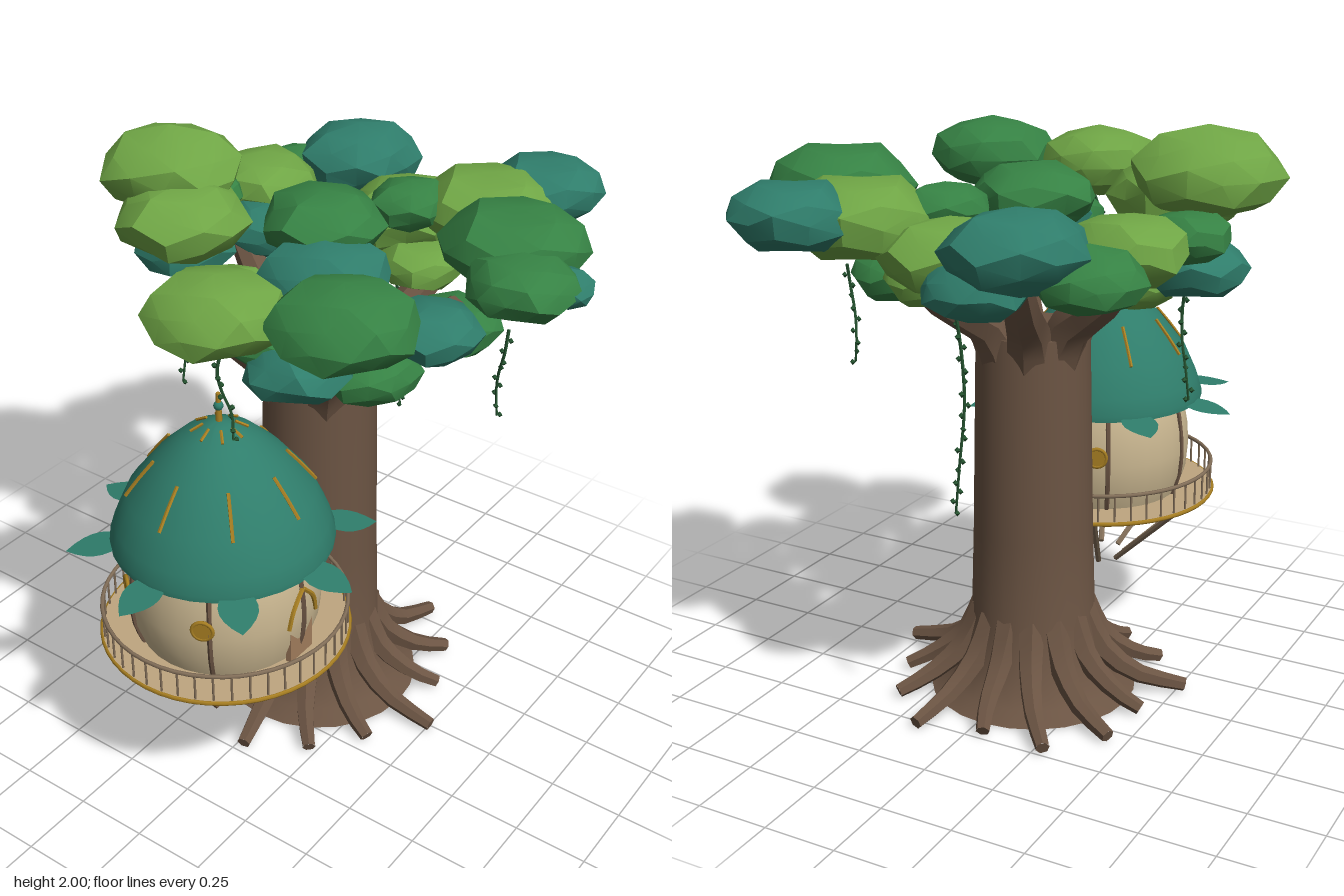
import * as THREE from 'three';
import { mergeGeometries, toCreasedNormals } from 'three/addons/utils/BufferGeometryUtils.js';

const V = (x, y, z) => new THREE.Vector3(x, y, z);
// Point at angle a (from +z towards +x), radius r and height y
const polar = (a, r, y) => V(Math.sin(a) * r, y, Math.cos(a) * r);

function material(name, color, double) {
  const m = new THREE.MeshStandardMaterial({ color });
  m.name = name;
  if (double) m.side = THREE.DoubleSide;
  return m;
}

function add(parent, name, geometry, mat) {
  const m = new THREE.Mesh(geometry, mat);
  m.name = name;
  parent.add(m);
  return m;
}

function group(parent, name) {
  const g = new THREE.Group();
  g.name = name;
  parent.add(g);
  return g;
}

// Calls fn with n evenly spaced angles
function around(n, offset, fn) {
  for (let i = 0; i < n; i++) fn(((i + offset) / n) * Math.PI * 2, i);
}

// Tapered, capped tube through a few points
function limb(points, r0, r1, sides = 6, steps = 6) {
  const curve = new THREE.CatmullRomCurve3(points);
  const tube = new THREE.TubeGeometry(curve, steps, 1, sides);
  const pos = tube.attributes.position;
  const v = V(0, 0, 0);
  for (let i = 0; i < pos.count; i++) {
    const t = Math.floor(i / (sides + 1)) / steps;
    const c = curve.getPointAt(t);
    v.fromBufferAttribute(pos, i).sub(c).multiplyScalar(r0 + (r1 - r0) * t).add(c);
    pos.setXYZ(i, v.x, v.y, v.z);
  }
  const caps = [0, 1].map((t) => {
    const dir = curve.getTangentAt(t).multiplyScalar(t ? 1 : -1);
    const cap = new THREE.CircleGeometry(t ? r1 : r0, sides);
    cap.applyQuaternion(new THREE.Quaternion().setFromUnitVectors(V(0, 0, 1), dir));
    const p = curve.getPointAt(t);
    return cap.translate(p.x, p.y, p.z);
  });
  return toCreasedNormals(mergeGeometries([tube, ...caps]), 0.8);
}

const lathe = (pts, segments) =>
  toCreasedNormals(new THREE.LatheGeometry(pts.map(([x, y]) => new THREE.Vector2(x, y)), segments), 0.6);

// Faceted, flattened leaf cloud with a slightly uneven surface
function cloud(seed, radius) {
  const g = new THREE.IcosahedronGeometry(1, 1);
  const p = g.attributes.position;
  for (let i = 0; i < p.count; i++) {
    const x = p.getX(i), y = p.getY(i), z = p.getZ(i);
    const k = 1 + 0.07 * Math.sin(5 * x + 3 * y + 4 * z + seed * 1.7);
    p.setXYZ(i, x * k, y * k, z * k);
  }
  g.rotateY(seed * 0.9).scale(radius, radius * 0.57, radius);
  return toCreasedNormals(g, 0.5);
}

export function createModel() {
  const bark = material('bark', 0x6b5443);
  const wall = material('wall', 0xc9b690);
  const teal = material('teal leaf', 0x2f7d6b, true);
  const green = material('green leaf', 0x368244);
  const lime = material('light green leaf', 0x6fa545);
  const gold = material('gold', 0xa87f22);
  const deckTan = material('deck tan', 0xbfa680);
  const wood = material('wood', 0x84705a);
  const vineGreen = material('vine green', 0x24502e);
  const doorBrown = material('door brown', 0xa07c5c);
  const model = new THREE.Group();

  // Trunk, roots and main branches
  const tree = group(model, 'tree');
  tree.position.set(-0.02, 0, -0.05);
  add(tree, 'trunk', lathe([[0, 0.005], [0.36, 0.005], [0.3, 0.04], [0.25, 0.12], [0.215, 0.28],
    [0.205, 0.6], [0.19, 1.3], [0, 1.3]], 24), bark);
  around(14, 0, (a, i) => {
    const length = 0.49 + 0.05 * Math.sin(i * 2.3 + 1);
    add(tree, 'root', limb([polar(a, 0.17, 0.3), polar(a, 0.24, 0.17), polar(a + 0.04, 0.36, 0.075),
      polar(a + 0.1, length, 0.028)], 0.052, 0.024), bark);
  });
  for (const a of [-1.9, 1.9, 2.7, -2.75, 0.75, -0.6]) {
    const reach = 0.38 + 0.04 * Math.abs(a);
    add(tree, 'branch', limb([polar(a, 0.1, 1.18), polar(a, 0.17, 1.33),
      polar(a, reach * 0.7, 1.44), polar(a, reach, 1.58)], 0.085, 0.045, 7), bark);
  }
  add(tree, 'supportBranch', limb([V(0, 0.43, 0.12), V(0, 0.51, 0.33), V(0, 0.54, 0.54)], 0.045, 0.018), bark);

  // Foliage, one list per colour: x, y, z, radius
  const crown = group(model, 'crown');
  const grow = (mat, list) => list.forEach(([x, y, z, r], i) =>
    add(crown, 'leafCloud', cloud(i, r), mat).position.set(x, y, z));
  grow(teal, [
    [-0.335, 1.73, -0.73, 0.215], [0.38, 1.77, -0.79, 0.19], [-0.2, 1.6, -0.72, 0.16],
    [0.73, 1.73, -0.24, 0.11], [0.42, 1.58, -0.02, 0.16], [-0.4, 1.6, -0.3, 0.17],
    [0.03, 1.66, -0.01, 0.21], [0.25, 1.63, 0.22, 0.14], [-0.58, 1.57, -0.05, 0.17], [0.19, 1.55, 0.36, 0.17],
  ]);
  grow(green, [
    [0.07, 1.76, -0.44, 0.14], [0.52, 1.78, -0.33, 0.23], [0.64, 1.74, -0.17, 0.18],
    [-0.52, 1.65, -0.65, 0.17], [-0.08, 1.76, -0.15, 0.2], [0.08, 1.6, 0.32, 0.16],
    [0.39, 1.78, 0.41, 0.22], [0.29, 1.46, 0.12, 0.16], [0.36, 1.48, -0.25, 0.16], [-0.63, 1.7, -0.22, 0.14],
  ]);
  grow(lime, [
    [-0.03, 1.65, -0.58, 0.21], [0.27, 1.74, -0.6, 0.23], [-0.53, 1.69, -0.43, 0.19],
    [-0.61, 1.86, -0.03, 0.24], [-0.47, 1.76, 0.09, 0.22], [-0.31, 1.57, 0.16, 0.13],
    [0.03, 1.76, 0.54, 0.21], [-0.36, 1.48, -0.02, 0.14], [0.1, 1.54, -0.47, 0.15],
  ]);

  // Hanging vines with small leaves: x, z, top, bottom
  [[-0.52, 0.05, 1.5, 1.1], [0.53, -0.29, 1.5, 1.17], [-0.06, -0.6, 1.55, 0.85], [0.04, 0.52, 1.65, 1.32]]
    .forEach(([x, z, top, bottom], k) => {
      const vine = group(model, 'vine');
      const at = (t) => V(x + 0.02 * Math.sin(t * 5 + k), top + (bottom - top) * t, z + 0.015 * Math.sin(t * 6));
      add(vine, 'vineStem', limb([0, 0.25, 0.5, 0.75, 1].map(at), 0.006, 0.004, 5, 12), vineGreen);
      const n = Math.round((top - bottom) / 0.035);
      for (let i = 1; i <= n; i++) {
        const leaf = add(vine, 'vineLeaf', new THREE.OctahedronGeometry(0.011), vineGreen);
        leaf.position.copy(at(i / n)).add(polar(i * 2.4, 0.011, 0));
      }
    });

  // Hut wall with upright ribs
  const hut = group(model, 'hut');
  hut.position.set(-0.015, 0, 0.49);
  const egg = [[0.285, 0.57], [0.312, 0.65], [0.32, 0.74], [0.314, 0.82], [0.295, 0.92], [0.25, 1]];
  add(hut, 'wall', lathe(egg, 32), wall);
  around(6, 0.5, (a) => add(hut, 'wallRib', limb(egg.map(([r, y]) => polar(a, r, y)), 0.009, 0.009, 5, 10), bark));

  // Round windows
  for (const degrees of [26, -38, 160, 203]) {
    const w = group(hut, 'window');
    w.rotation.y = THREE.MathUtils.degToRad(degrees);
    const pane = new THREE.CylinderGeometry(0.033, 0.033, 0.009, 16).rotateX(Math.PI / 2);
    const frame = new THREE.TorusGeometry(0.033, 0.007, 6, 20);
    add(w, 'windowPane', pane, gold).position.set(0, 0.78, 0.322);
    add(w, 'windowFrame', frame, gold).position.set(0, 0.78, 0.322);
  }

  // Door with a pointed arch on the left side
  const door = group(hut, 'door');
  door.rotation.y = Math.PI / 2;
  add(door, 'doorPanel', new THREE.BoxGeometry(0.115, 0.22, 0.02), doorBrown).position.set(0, 0.685, 0.3);
  for (const s of [-1, 1]) {
    add(door, 'doorArch', limb([V(s * 0.07, 0.72, 0.314), V(s * 0.052, 0.785, 0.318), V(0, 0.845, 0.316)],
      0.008, 0.008, 6, 8), gold);
  }

  // Roof, gold strips, eave leaves and finial
  add(hut, 'roof', lathe([[0.28, 0.945], [0.362, 0.925], [0.362, 0.945], [0.345, 1], [0.3, 1.1], [0.205, 1.22],
    [0.12, 1.3], [0.04, 1.345], [0, 1.355]], 32), teal);
  const leafShape = new THREE.Shape();
  leafShape.moveTo(-0.04, 0);
  leafShape.quadraticCurveTo(-0.1, 0.08, 0, 0.17);
  leafShape.quadraticCurveTo(0.1, 0.08, 0.04, 0);
  const leafGeo = new THREE.ShapeGeometry(leafShape, 6).rotateX(Math.PI / 2 + 0.15).translate(0, 0.938, 0.335);
  around(8, 0, (a) => {
    add(hut, 'eaveLeaf', leafGeo, teal).rotation.y = a;
    add(hut, 'roofStrip', limb([polar(a, 0.208, 1.222), polar(a, 0.257, 1.164), polar(a, 0.302, 1.104)], 0.006, 0.006, 5, 4), gold);
    add(hut, 'roofTopStrip', limb([polar(a, 0.05, 1.345), polar(a, 0.09, 1.322)], 0.005, 0.005, 5, 2), gold);
  });
  add(hut, 'finialPole', new THREE.CylinderGeometry(0.007, 0.012, 0.12, 8), gold).position.y = 1.39;
  add(hut, 'finialBead', new THREE.SphereGeometry(0.016, 10, 8), teal).position.y = 1.405;

  // Deck, railing and struts
  const ring = (r, thickness) => new THREE.TorusGeometry(r, thickness, 6, 48).rotateX(Math.PI / 2);
  add(hut, 'deck', new THREE.CylinderGeometry(0.41, 0.41, 0.014, 48), deckTan).position.y = 0.567;
  add(hut, 'deckRim', ring(0.411, 0.008), gold).position.y = 0.567;
  add(hut, 'handrail', ring(0.405, 0.007), wood).position.y = 0.67;
  const balusterGeo = new THREE.CylinderGeometry(0.004, 0.004, 0.1, 5);
  around(44, 0, (a) => add(hut, 'baluster', balusterGeo, wood).position.copy(polar(a, 0.405, 0.62)));
  around(8, 0.5, (a) => add(hut, 'strut', limb([polar(a, 0.39, 0.56), polar(a, 0.09, 0.29)], 0.011, 0.011, 6, 1), wood));

  return model;
}
